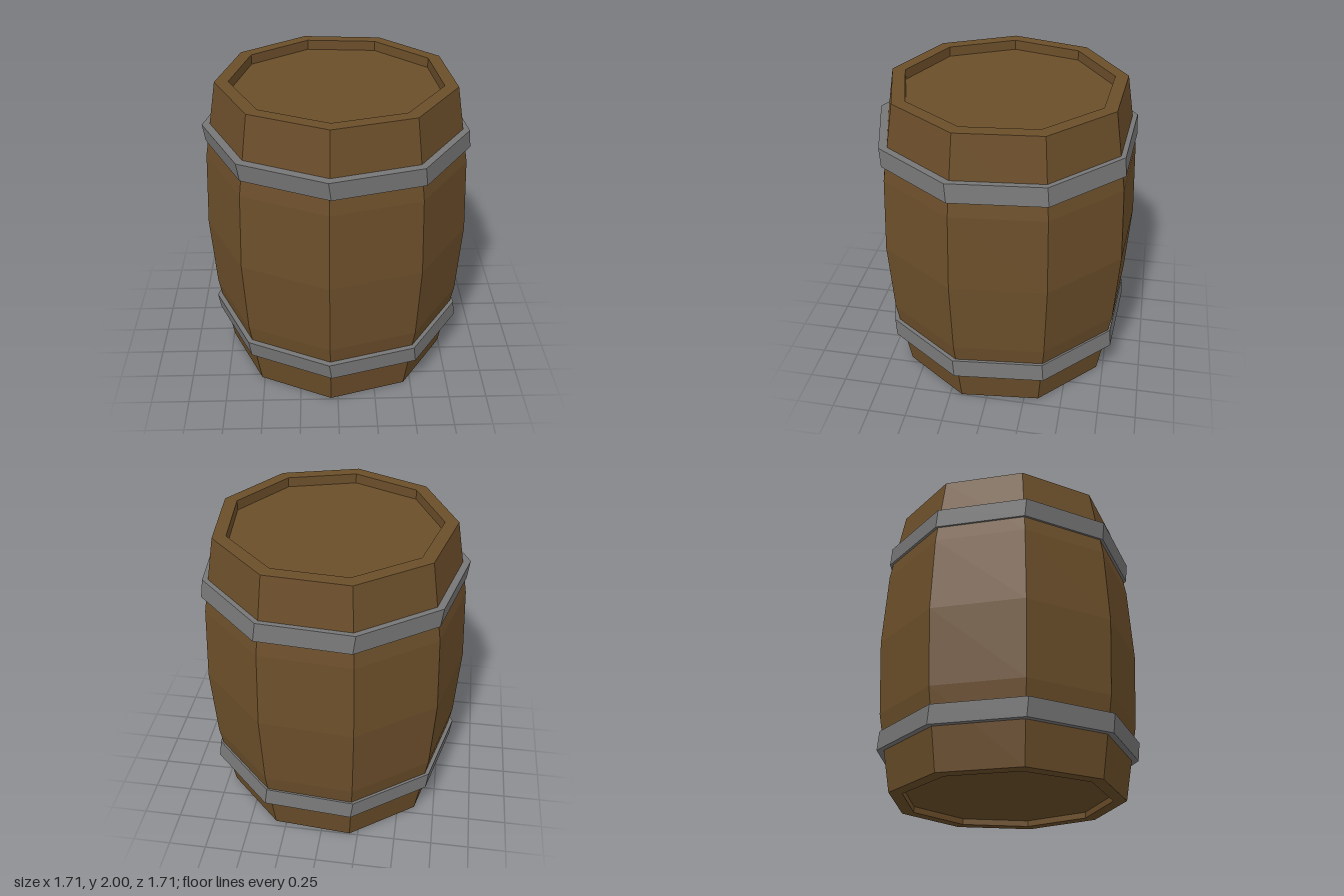
import * as THREE from 'three';

const SIDES = 9;
const PHASE = THREE.MathUtils.degToRad(-4.3);

const wood = new THREE.MeshStandardMaterial({ color: 0x6b4e2a, flatShading: true });
const iron = new THREE.MeshStandardMaterial({ color: 0x777777, flatShading: true });

// Nine-sided turned part from [radius, height] pairs, listed bottom to top on the outside
function turned(name, profile, material) {
  const points = profile.map(([r, y]) => new THREE.Vector2(r, y));
  const mesh = new THREE.Mesh(new THREE.LatheGeometry(points, SIDES, PHASE), material);
  mesh.name = name;
  return mesh;
}

// Iron hoop, leaning slightly to one side
function hoop(name, bottom) {
  const h = 0.118, outer = 0.85, inner = 0.77;
  const mesh = turned(name, [[inner, 0], [outer, 0], [outer, h], [inner, h], [inner, 0]], iron);
  const pos = mesh.geometry.attributes.position;
  for (let i = 0; i < pos.count; i++) {
    const t = 1 - pos.getY(i) / h;
    pos.setX(i, pos.getX(i) - 0.005 + 0.015 * t);
    pos.setZ(i, pos.getZ(i) + 0.011 - 0.011 * t);
  }
  mesh.geometry.computeVertexNormals();
  mesh.position.y = bottom;
  return mesh;
}

export function createModel() {
  const barrel = new THREE.Group();
  barrel.name = 'barrel';

  // Bulging staves with raised rims
  barrel.add(turned('staves', [
    [0.672, 0.04], [0.672, 0], [0.758, 0], [0.845, 0.5], [0.872, 1],
    [0.845, 1.5], [0.758, 2], [0.672, 2], [0.672, 1.935],
  ], wood));

  // Recessed end boards
  barrel.add(turned('bottomBoard', [[0, 0.04], [0.672, 0.04]], wood));
  barrel.add(turned('lid', [[0.672, 1.935], [0, 1.935]], wood));

  // Hoops
  barrel.add(hoop('lowerHoop', 0.264), hoop('upperHoop', 1.606));

  // Centre the odd-sided outline on the origin
  barrel.children.forEach((part) => {
    part.position.x += 0.0106;
    part.position.z -= 0.0158;
  });

  const model = new THREE.Group();
  model.add(barrel);
  return model;
}
